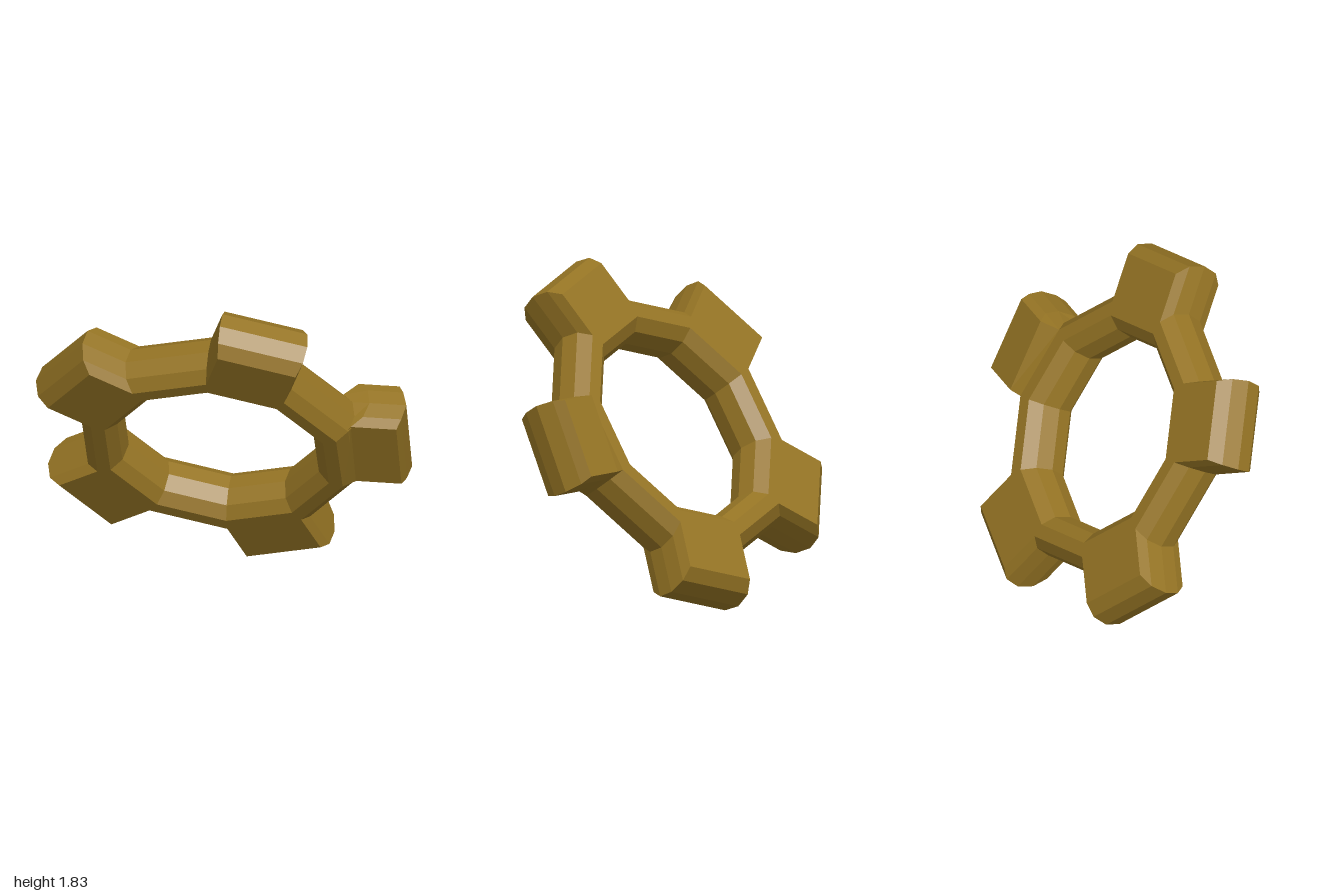
import * as THREE from 'three';

const SIDES = 10;                 // segments round the ring and round its section
const RING = 0.667, TUBE = 0.126; // ring radius, section radius
const DEPTH = 1.29;               // the section is deeper than it is wide
const HALF = Math.PI / SIDES;
const REACH = 0.274;              // how far a tooth stands out from the ring

// A tooth is the outer part of one ring segment pushed outwards.
// Each station maps a section point (r, t, n) to its place along the tooth.
function toothGeometry(stations) {
  const point = (j, k, s) => {
    const a = k * 2 * HALF;
    const radius = RING + TUBE * Math.cos(a);
    return stations[j](radius * Math.cos(HALF), s * radius * Math.sin(HALF), TUBE * DEPTH * Math.sin(a), k);
  };
  const pos = [];
  const quad = (a, b, c, d) => pos.push(...a, ...b, ...c, ...a, ...c, ...d);
  const end = stations.length - 1;
  for (let j = 0; j < end; j++) {
    // front and back
    quad(point(j, 2, -1), point(j + 1, 2, -1), point(j + 1, 2, 1), point(j, 2, 1));
    quad(point(j, -2, 1), point(j + 1, -2, 1), point(j + 1, -2, -1), point(j, -2, -1));
    // flanks
    for (let k = -2; k < 2; k++) {
      quad(point(j, k, 1), point(j, k + 1, 1), point(j + 1, k + 1, 1), point(j + 1, k, 1));
      quad(point(j + 1, k, -1), point(j + 1, k + 1, -1), point(j, k + 1, -1), point(j, k, -1));
    }
  }
  // rounded tip
  for (let k = -2; k < 2; k++) {
    quad(point(end, k, -1), point(end, k, 1), point(end, k + 1, 1), point(end, k + 1, -1));
  }
  const g = new THREE.BufferGeometry();
  g.setAttribute('position', new THREE.Float32BufferAttribute(pos, 3));
  g.computeVertexNormals();
  return g;
}

export function createModel() {
  const model = new THREE.Group();
  model.name = 'toothedRing';
  const brass = new THREE.MeshStandardMaterial({ color: 0x957424 });
  brass.name = 'darkBrass';

  // ring, ten-sided, flat faces
  const ringGeometry = new THREE.TorusGeometry(RING, TUBE, SIDES, SIDES)
    .rotateZ(HALF).scale(1, 1, DEPTH).toNonIndexed();
  ringGeometry.computeVertexNormals();
  const ring = new THREE.Mesh(ringGeometry, brass);
  ring.name = 'ring';
  model.add(ring);

  // four straight teeth and one slightly twisted, set-back tooth
  const base = (r, t, n) => [r, t, n];
  const straight = toothGeometry([base, (r, t, n) => [r + REACH, t, n]]);
  const shift = (r, t, n) => [r, t + 0.01 + 0.14 * n, n - 0.052 - 0.14 * t];
  const twisted = toothGeometry([
    base,
    (r, t, n) => shift(r + 0.072, t, n),
    (r, t, n, k) => shift(r + REACH + (Math.abs(k) === 2 ? 0.035 : 0) + 0.08 * n, t, n),
  ]);
  for (let i = 0; i < 5; i++) {
    const tooth = new THREE.Mesh(i === 0 ? twisted : straight, brass);
    tooth.name = i === 0 ? 'twistedTooth' : 'tooth' + i;
    tooth.rotation.z = i * Math.PI * 2 / 5;
    model.add(tooth);
  }

  // lean the whole ring forwards
  model.rotation.x = 0.5725;
  model.position.set(-0.026, 0.9325, 0);
  const root = new THREE.Group();
  root.name = 'model';
  root.add(model);
  return root;
}
